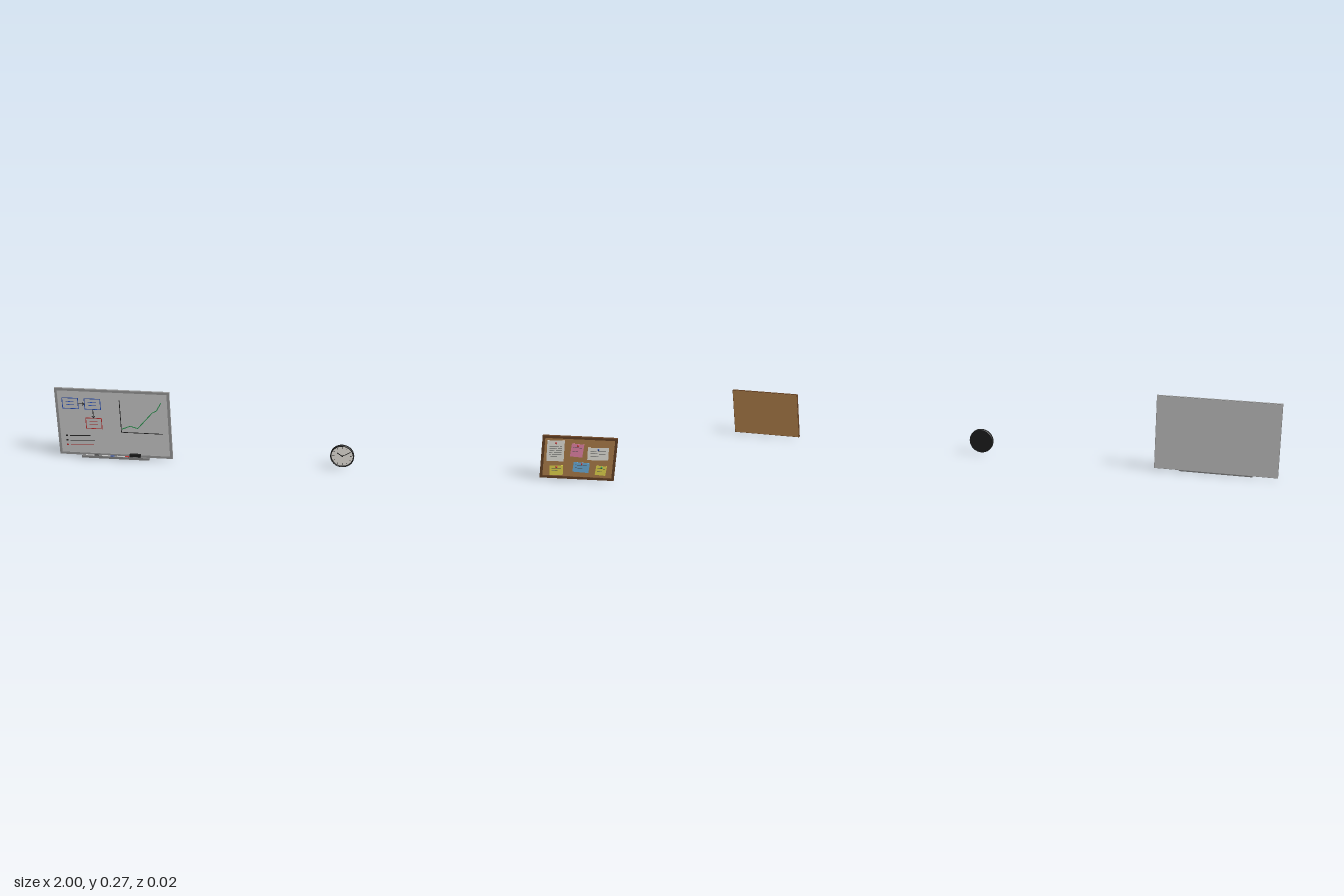
import * as THREE from 'three';

const BACK = -0.011;
const materials = {};
function mat(color) {
  return materials[color] ??= new THREE.MeshStandardMaterial({ color });
}

function add(parent, name, geometry, color, x = 0, y = 0, z = 0) {
  const mesh = new THREE.Mesh(geometry, mat(color));
  mesh.name = name;
  mesh.position.set(x, y, z);
  parent.add(mesh);
  return mesh;
}

function box(parent, name, color, w, h, d, x, y, z, tilt = 0) {
  const mesh = add(parent, name, new THREE.BoxGeometry(w, h, d), color, x, y, z);
  mesh.rotation.z = tilt;
  return mesh;
}

// Thin bar along a list of points
function stroke(parent, name, color, points, z, width = 0.0025) {
  for (let i = 1; i < points.length; i++) {
    const [ax, ay] = points[i - 1], [bx, by] = points[i];
    box(parent, name, color, Math.hypot(bx - ax, by - ay) + width * 0.6, width, 0.0008,
      (ax + bx) / 2, (ay + by) / 2, z, Math.atan2(by - ay, bx - ax));
  }
}

function outline(parent, name, color, x0, y0, x1, y1, z) {
  stroke(parent, name, color, [[x0, y0], [x1, y0], [x1, y1], [x0, y1], [x0, y0]], z);
}

// Backing panel with a raised four-sided frame
function framedBoard(parent, x0, y0, x1, y1, rim, frameColor, panelColor) {
  const w = x1 - x0, h = y1 - y0, cx = (x0 + x1) / 2, cy = (y0 + y1) / 2;
  box(parent, 'boardPanel', panelColor, w - 0.002, h - 0.002, 0.006, cx, cy, BACK + 0.003);
  for (const s of [-1, 1]) {
    box(parent, 'frameRail', frameColor, w, rim, 0.0085, cx, cy + s * (h - rim) / 2, BACK + 0.0045);
    box(parent, 'frameStile', frameColor, rim, h - 2 * rim, 0.0085, cx + s * (w - rim) / 2, cy, BACK + 0.0045);
  }
}

function whiteboard() {
  const g = new THREE.Group();
  g.name = 'whiteboard';
  framedBoard(g, -1, 0.005, -0.58, 0.267, 0.009, 0x999999, 0xcccccc);
  const z = BACK + 0.0064, blue = 0x2850b8, red = 0xc03030, dark = 0x222222, green = 0x2a9a50;

  // Flow chart boxes, scribbles and arrows
  for (const [color, x, y] of [[blue, -0.975, 0.188], [blue, -0.893, 0.188], [red, -0.893, 0.112]]) {
    outline(g, 'chartBox', color, x, y, x + 0.058, y + 0.041, z);
    for (const k of [0.015, 0.027])
      box(g, 'scribble', color, 0.03, 0.002, 0.0008, x + 0.028, y + k, z);
  }
  stroke(g, 'arrow', dark, [[-0.917, 0.208], [-0.894, 0.208]], z);
  stroke(g, 'arrowHead', dark, [[-0.901, 0.213], [-0.894, 0.208], [-0.901, 0.203]], z);
  stroke(g, 'arrow', dark, [[-0.864, 0.188], [-0.864, 0.154]], z);
  stroke(g, 'arrowHead', dark, [[-0.869, 0.161], [-0.864, 0.154], [-0.859, 0.161]], z);

  // Line graph
  stroke(g, 'graphAxis', dark, [[-0.764, 0.227], [-0.764, 0.102], [-0.612, 0.102]], z);
  stroke(g, 'graphLine', green, [[-0.761, 0.115], [-0.73, 0.128], [-0.703, 0.12], [-0.67, 0.157],
    [-0.645, 0.185], [-0.63, 0.193], [-0.612, 0.224]], z, 0.003);

  // Bullet list
  [[0.08, 0.075, dark], [0.061, 0.09, dark], [0.043, 0.085, red]].forEach(([y, len, color]) => {
    box(g, 'bullet', color, 0.006, 0.005, 0.0008, -0.969, y, z);
    stroke(g, 'listLine', color, [[-0.957, y - 0.001], [-0.957 + len, y + 0.003]], z, 0.002);
  });

  // Pen tray with lip
  box(g, 'tray', 0x888888, 0.25, 0.004, 0.018, -0.79, 0.002, 0.002);
  box(g, 'trayLip', 0x888888, 0.25, 0.009, 0.002, -0.79, 0.0045, 0.010);

  // Markers and eraser
  [[-0.885, dark], [-0.825, blue], [-0.77, red]].forEach(([x, color], i) => {
    const pen = add(g, 'marker', new THREE.CylinderGeometry(0.0027, 0.0027, 0.032, 12), 0xdddddd, x, 0.007, 0.003);
    const cap = add(g, 'markerCap', new THREE.CylinderGeometry(0.003, 0.003, 0.014, 12), color, x + 0.022, 0.007, 0.003);
    pen.rotation.z = cap.rotation.z = Math.PI / 2;
  });
  box(g, 'eraserFelt', 0x555555, 0.04, 0.006, 0.011, -0.718, 0.007, 0.002);
  box(g, 'eraserGrip', 0x1c1c1c, 0.04, 0.009, 0.011, -0.718, 0.0145, 0.002);
  return g;
}

function clock() {
  const g = new THREE.Group();
  g.name = 'wallClock';
  g.position.set(0.04, 0.05, 0);

  // Closed turned case with a raised rim
  const profile = [[0, BACK], [0.041, BACK], [0.043, BACK + 0.002], [0.043, -0.0005], [0.0418, 0.0008],
    [0.0395, 0.0008], [0.0385, -0.0005], [0.0385, -0.004], [0, -0.004]].map(p => new THREE.Vector2(...p));
  const caseGeo = new THREE.LatheGeometry(profile, 48).toNonIndexed();
  caseGeo.computeVertexNormals();
  caseGeo.rotateX(Math.PI / 2);
  add(g, 'clockCase', caseGeo, 0x1e1e1e);
  add(g, 'clockFace', new THREE.CircleGeometry(0.0388, 48), 0xf0ece4, 0, 0, -0.0035);

  // Hour ticks
  for (let i = 0; i < 12; i++) {
    const a = i * Math.PI / 6, len = i % 3 ? 0.005 : 0.008, r = 0.036 - len / 2;
    box(g, 'hourTick', 0x222222, i % 3 ? 0.0014 : 0.0024, len, 0.0008, r * Math.sin(a), r * Math.cos(a), -0.003, -a);
  }
  // Hands, angles clockwise from twelve
  const hand = (name, color, deg, len, width, z) => {
    const a = deg * Math.PI / 180, r = len / 2 - 0.003;
    box(g, name, color, width, len, 0.0007, r * Math.sin(a), r * Math.cos(a), z, -a);
  };
  hand('hourHand', 0x1a1a1a, 304, 0.025, 0.003, -0.0024);
  hand('minuteHand', 0x1a1a1a, 60, 0.034, 0.0022, -0.0016);
  hand('secondHand', 0xc03030, 180, 0.033, 0.0009, -0.0008);
  const hub = add(g, 'handHub', new THREE.CylinderGeometry(0.0025, 0.0025, 0.004, 16), 0x1a1a1a, 0, 0, -0.0015);
  hub.rotation.x = Math.PI / 2;
  return g;
}

function corkboard() {
  const g = new THREE.Group();
  g.name = 'corkboard';
  framedBoard(g, 0.742, 0.005, 1, 0.169, 0.009, 0x6b4526, 0xb5834d);

  // Notes: centre, size, tilt, paper, pin, number of written lines
  const notes = [
    [0.79, 0.111, 0.06, 0.08, 0.02, 0xf2f0e8, 0xc03030, 6],
    [0.864, 0.116, 0.043, 0.05, -0.06, 0xf08ab0, 0xc03030, 2],
    [0.937, 0.106, 0.072, 0.048, 0.03, 0xf2f0e8, 0x2850b8, 3],
    [0.798, 0.036, 0.046, 0.037, 0.07, 0xeee050, 0xc03030, 2],
    [0.883, 0.051, 0.056, 0.038, -0.05, 0x70b8e8, 0xc03030, 2],
    [0.952, 0.042, 0.037, 0.036, -0.08, 0xeee050, 0x2a9a50, 2]
  ];
  for (const [x, y, w, h, tilt, paper, pinColor, lines] of notes) {
    const note = new THREE.Group();
    note.name = 'pinnedNote';
    note.position.set(x, y, BACK + 0.0066);
    note.rotation.z = tilt;
    g.add(note);
    box(note, 'paper', paper, w, h, 0.001, 0, 0, 0);
    for (let i = 0; i < lines; i++) {
      const len = w * (i === lines - 1 ? 0.45 : 0.72);
      box(note, 'writtenLine', 0x555555, len, 0.0016, 0.0006, len / 2 - w * 0.36, h * (0.22 - 0.6 * i / lines), 0.0006);
    }
    const needle = add(note, 'pinNeck', new THREE.CylinderGeometry(0.0016, 0.0022, 0.006, 10), pinColor, 0, h * 0.4, 0.003);
    needle.rotation.x = Math.PI / 2;
    add(note, 'pinHead', new THREE.SphereGeometry(0.0034, 12, 8), pinColor, 0, h * 0.4, 0.006);
  }
  return g;
}

export function createModel() {
  const model = new THREE.Group();
  model.name = 'officeWallSet';
  model.add(whiteboard(), clock(), corkboard());
  return model;
}
